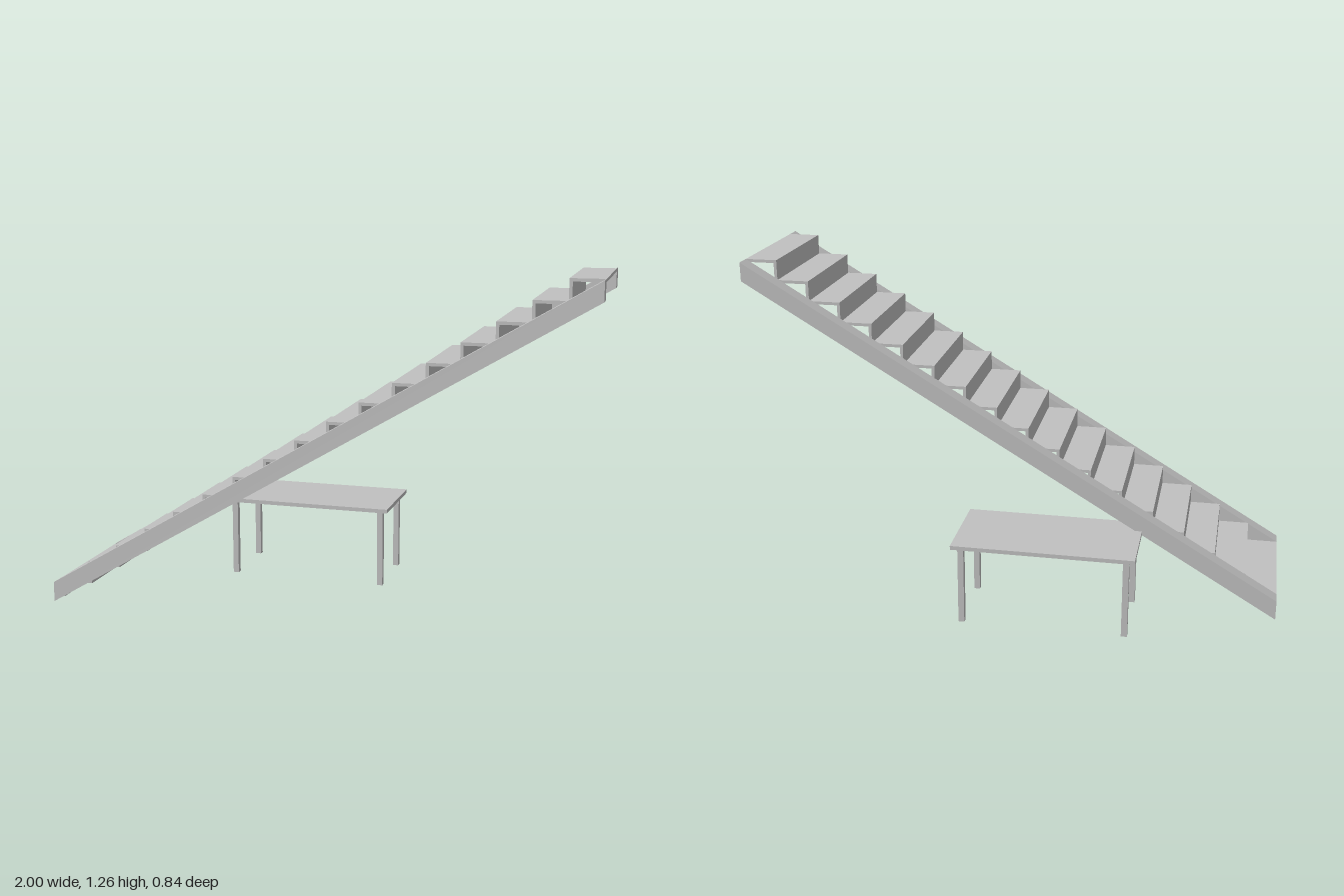
import * as THREE from 'three';

const STEPS = 17;
const RUN = 2 / STEPS;
const RISE = 1.26 / STEPS;
const THICK = 0.011;
const Z_BACK = -0.106, Z_FRONT = 0.358; // inner faces of the two stringers
const STRINGER = 0.06;

export function createModel() {
  const grey = new THREE.MeshStandardMaterial({ color: 0xc0c0c0 });
  grey.name = 'light grey';

  // Box given by its minimum and maximum corners
  const box = (name, parent, x0, x1, y0, y1, z0, z1) => {
    const geometry = new THREE.BoxGeometry(x1 - x0, y1 - y0, z1 - z0);
    const mesh = new THREE.Mesh(geometry, grey);
    mesh.position.set((x0 + x1) / 2, (y0 + y1) / 2, (z0 + z1) / 2);
    mesh.name = name;
    parent.add(mesh);
  };

  const model = new THREE.Group();
  model.name = 'staircaseAndTable';

  // Sloping side beams with upright ends
  const stairs = new THREE.Group();
  stairs.name = 'staircase';
  const side = new THREE.Shape([
    new THREE.Vector2(-1, 0),
    new THREE.Vector2(1, 1.19),
    new THREE.Vector2(1, 1.26),
    new THREE.Vector2(-1, 0.075),
  ]);
  const sideGeometry = new THREE.ExtrudeGeometry(side, { depth: STRINGER, bevelEnabled: false });
  for (const [name, z] of [['frontStringer', Z_FRONT], ['backStringer', Z_BACK - STRINGER]]) {
    const stringer = new THREE.Mesh(sideGeometry, grey);
    stringer.name = name;
    stringer.position.z = z;
    stairs.add(stringer);
  }

  // Thin risers and treads between the beams
  for (let i = 0; i < STEPS; i++) {
    const x = -1 + i * RUN;
    const top = (i + 1) * RISE;
    const bottom = i === 0 ? 0 : i * RISE - THICK;
    box('riser', stairs, x, x + THICK, bottom, top, Z_BACK, Z_FRONT);
    box('tread', stairs, x + THICK, x + RUN, top - THICK, top, Z_BACK, Z_FRONT);
  }

  // Table behind the stairs
  const table = new THREE.Group();
  table.name = 'table';
  box('tableTop', table, -0.496, 0.171, 0.3, 0.315, -0.418, -0.084);
  for (const x of [-0.474, 0.127]) {
    for (const z of [-0.396, -0.128]) {
      box('tableLeg', table, x, x + 0.022, 0, 0.3, z, z + 0.022);
    }
  }

  model.add(stairs, table);
  return model;
}
